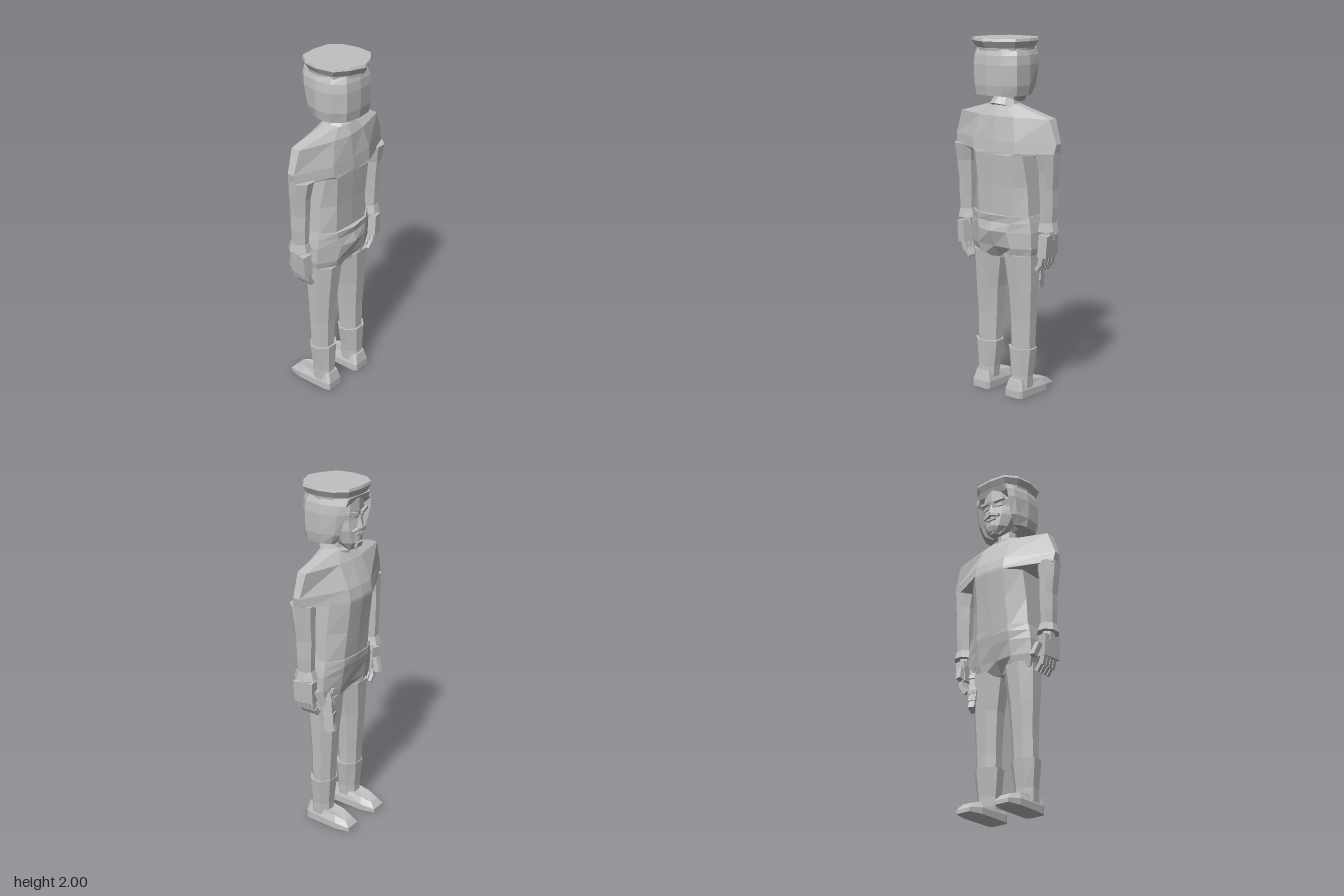
import * as THREE from 'three';

const grey = new THREE.MeshStandardMaterial({ color: 0xc0c0c0, flatShading: true });
grey.name = 'plain grey';

// Closed skin over a stack of equal-length rings, turned outward by its signed volume
function loft(rings) {
  const n = rings[0].length, tris = [];
  const quad = (a, b, c, d) => tris.push([a, b, c], [a, c, d]);
  for (let i = 0; i < rings.length - 1; i++)
    for (let j = 0; j < n; j++) {
      const k = (j + 1) % n;
      quad(rings[i][j], rings[i][k], rings[i + 1][k], rings[i + 1][j]);
    }
  const cap = (ring, flip) => {
    const pts = ring.map(p => new THREE.Vector2(p[0], p[2]));
    const ccw = !THREE.ShapeUtils.isClockWise(pts);
    for (const t of THREE.ShapeUtils.triangulateShape(pts, [])) {
      const f = t.map(i => ring[i]);
      tris.push(flip === ccw ? f : f.reverse());
    }
  };
  cap(rings[0], false);
  cap(rings[rings.length - 1], true);
  let volume = 0;
  const v = tris.map(t => t.map(p => new THREE.Vector3(...p)));
  for (const [a, b, c] of v) volume += a.dot(b.clone().cross(c));
  const pos = [];
  for (const [a, b, c] of v)
    for (const p of volume < 0 ? [a, c, b] : [a, b, c]) pos.push(p.x, p.y, p.z);
  const g = new THREE.BufferGeometry();
  g.setAttribute('position', new THREE.Float32BufferAttribute(pos, 3));
  g.computeVertexNormals();
  return g;
}

// Symmetric ring from half an outline of [x, z], beginning and ending on x = 0
function mirrored(y, half) {
  const right = half.slice(1, -1).reverse().map(([x, z]) => [-x, y, z]);
  return [...half.map(([x, z]) => [x, y, z]), ...right];
}

// Eight-sided limb ring between x and z limits
function limbRing([y, x0, x1, z0, z1], s, n = 8) {
  return Array.from({ length: n }, (_, i) => {
    const a = (i + 0.5) / n * Math.PI * 2, k = 1 / Math.cos(Math.PI / n);
    return [s * ((x0 + x1) / 2 + Math.cos(a) * k * (x1 - x0) / 2), y,
      (z0 + z1) / 2 + Math.sin(a) * k * (z1 - z0) / 2];
  });
}

export function createModel() {
  const model = new THREE.Group();
  const add = (name, geo, parent = model) => {
    const m = new THREE.Mesh(geo, grey);
    m.name = name;
    parent.add(m);
    return m;
  };
  const box = (name, size, at, rot = [0, 0, 0], parent = model) => {
    const m = add(name, new THREE.BoxGeometry(...size), parent);
    m.position.set(...at);
    m.rotation.set(...rot);
    return m;
  };
  const limb = (name, rows, s, parent, n) =>
    add(name, loft(rows.map(r => limbRing(r, s, n))), parent);

  // Jacket with broad shoulders: y, back centre z, back [x,z], side [x, z back, z front], front [x,z], front centre z
  const trunk = (name, rows) => add(name, loft(rows.map(([y, bz, b, s, f, fz]) =>
    mirrored(y, [[0, bz], b, [s[0], s[1]], [s[0], s[2]], f, [0, fz]]))));
  trunk('jacket', [
    [1.02, 0.11, [0.12, 0.105], [0.2, 0.05, -0.06], [0.11, -0.12], -0.125],
    [1.2, 0.115, [0.12, 0.11], [0.19, 0.05, -0.06], [0.1, -0.138], -0.145],
    [1.375, 0.125, [0.13, 0.12], [0.18, 0.08, -0.08], [0.1, -0.158], -0.167],
    [1.39, 0.125, [0.15, 0.115], [0.355, 0.03, -0.03], [0.1, -0.158], -0.167],
    [1.45, 0.12, [0.15, 0.11], [0.365, 0.02, -0.02], [0.1, -0.145], -0.152],
    [1.58, 0.105, [0.12, 0.09], [0.32, 0.025, -0.03], [0.1, -0.085], -0.09],
    [1.645, 0.07, [0.05, 0.065], [0.08, 0.03, -0.01], [0.05, -0.04], -0.045],
  ]);
  trunk('hips', [
    [0.79, 0.06, [0.1, 0.095], [0.205, 0.04, -0.05], [0.1, -0.085], -0.04],
    [0.86, 0.11, [0.12, 0.11], [0.22, 0.05, -0.06], [0.11, -0.1], -0.09],
    [0.95, 0.145, [0.1, 0.125], [0.22, 0.055, -0.065], [0.11, -0.115], -0.118],
    [1.0, 0.13, [0.12, 0.115], [0.213, 0.055, -0.065], [0.11, -0.125], -0.128],
    [1.04, 0.14, [0.12, 0.118], [0.205, 0.055, -0.065], [0.11, -0.127], -0.133],
  ]);

  // Neck and tilted collar
  const neck = add('neck', new THREE.CylinderGeometry(0.055, 0.06, 0.16, 8));
  neck.position.set(0, 1.66, 0.015);
  const collar = add('collar', new THREE.CylinderGeometry(0.075, 0.09, 0.045, 10));
  collar.position.set(0, 1.637, 0.01);
  collar.rotation.x = -0.38;

  // Hood with an opening that frames the face: y, half width, back z, opening edge z, recess depth
  add('hood', loft([
    [1.695, 0.152, 0.16, -0.065, 0.06],
    [1.75, 0.163, 0.168, -0.1, 0.06],
    [1.86, 0.166, 0.17, -0.13, 0.05],
    [1.91, 0.16, 0.165, -0.135, 0.01],
    [1.945, 0.147, 0.155, -0.13, -0.01],
  ].map(([y, w, b, e, d]) => mirrored(y, [[0, b], [w * 0.6, b - 0.012], [w * 0.96, b - 0.07],
    [w, 0], [w * 0.86, e * 0.75], [w * 0.7, e], [w * 0.62, e + d], [0, e + d]]))));

  // Peaked flat cap
  const brim = [[0, 0.2], [0.085, 0.168], [0.158, 0.113], [0.173, 0.01], [0.155, -0.08],
    [0.1, -0.145], [0, -0.156]];
  add('cap', loft([[1.935, 0.87], [1.95, 0.88], [1.985, 1], [2, 0.975]].map(([y, k]) =>
    mirrored(y, brim.map(([x, z]) => [x * k, z * k])))));

  // Face and features
  const face = new THREE.Group();
  face.name = 'face';
  model.add(face);
  add('faceMask', loft([
    [1.648, 0.035, -0.075, -0.125],
    [1.69, 0.075, -0.03, -0.14],
    [1.76, 0.105, 0, -0.137],
    [1.82, 0.108, 0, -0.128],
    [1.86, 0.11, 0, -0.138],
    [1.93, 0.1, 0, -0.138],
  ].map(([y, w, b, f]) => mirrored(y, [[0, b], [w * 0.8, b], [w, (b + f) / 2],
    [w * 0.6, f + 0.015], [0, f]]))), face);
  const nose = add('nose', new THREE.ConeGeometry(0.022, 0.07, 4), face);
  nose.position.set(0, 1.81, -0.139);
  box('mouth', [0.06, 0.014, 0.012], [0, 1.735, -0.14], [0, 0, 0], face);
  box('chin', [0.045, 0.03, 0.02], [0, 1.68, -0.132], [-0.3, 0, 0], face);
  for (const s of [1, -1]) {
    box('brow', [0.065, 0.016, 0.02], [s * 0.05, 1.855, -0.131], [0, s * -0.25, s * 0.15], face);
    box('eye', [0.04, 0.016, 0.009], [s * 0.048, 1.828, -0.121], [0, s * -0.25, 0], face);
    box('moustache', [0.055, 0.016, 0.018], [s * 0.026, 1.76, -0.139], [0, s * -0.2, s * -0.3], face);
  }

  for (const s of [1, -1]) {
    // Sleeve and cuff
    const arm = new THREE.Group();
    arm.name = s > 0 ? 'leftArm' : 'rightArm';
    model.add(arm);
    limb('sleeve', [
      [0.99, 0.255, 0.335, -0.05, 0.045],
      [1.1, 0.255, 0.342, -0.055, 0.05],
      [1.2, 0.252, 0.342, -0.058, 0.055],
      [1.3, 0.25, 0.353, -0.058, 0.062],
      [1.4, 0.235, 0.36, -0.06, 0.08],
    ], s, arm);
    limb('cuff', [[0.972, 0.24, 0.35, -0.07, 0.06], [1.02, 0.252, 0.34, -0.055, 0.05]], s, arm);
    // Hand with curled fingers and thumb
    limb('wrist', [[0.92, 0.265, 0.325, -0.04, 0.03], [0.99, 0.265, 0.325, -0.04, 0.035]], s, arm, 6);
    box('palm', [0.055, 0.125, 0.115], [s * 0.295, 0.89, 0.002], [0, s * 0.15, s * -0.08], arm);
    for (let i = 0; i < 4; i++) {
      const z = 0.042 - i * 0.028;
      box('fingerBase', [0.03, 0.06, 0.022], [s * 0.285, 0.81, z], [0, 0, s * -0.25], arm);
      box('fingerTip', [0.024, 0.05, 0.02], [s * 0.262, 0.768, z - 0.005], [0, 0, s * -0.65], arm);
    }
    box('thumb', [0.032, 0.085, 0.03], [s * 0.268, 0.86, -0.08], [0.35, 0, s * -0.2], arm);

    // Trouser leg, boot and shoe
    const leg = new THREE.Group();
    leg.name = s > 0 ? 'leftLeg' : 'rightLeg';
    model.add(leg);
    limb('trouserLeg', [
      [0.25, 0.058, 0.192, -0.055, 0.068],
      [0.35, 0.055, 0.195, -0.058, 0.07],
      [0.45, 0.05, 0.197, -0.065, 0.072],
      [0.6, 0.04, 0.205, -0.075, 0.082],
      [0.82, 0.008, 0.213, -0.09, 0.1],
    ], s, leg);
    limb('bootShaft', [
      [0.05, 0.068, 0.185, -0.045, 0.08],
      [0.12, 0.065, 0.187, -0.045, 0.075],
      [0.28, 0.045, 0.205, -0.06, 0.08],
    ], s, leg);
    const sole = [[0.062, 0.08], [0.075, 0.1], [0.172, 0.1], [0.185, 0.08], [0.19, -0.12],
      [0.172, -0.2], [0.083, -0.2], [0.062, -0.12]];
    const upper = [0.075, 0.075, 0.075, 0.08, 0.065, 0.04, 0.04, 0.065];
    const top = [0.1, 0.1, 0.1, 0.105, 0.075, 0.055, 0.055, 0.075];
    const shrink = ([x, z], k) => [s * (0.126 + (x - 0.126) * k), z * (1 + k) / 2];
    add('shoe', loft([[() => 0, 1], [i => upper[i] * 0.55, 1], [i => top[i], 0.7]].map(([h, k]) =>
      sole.map((p, i) => {
        const [x, z] = shrink(p, k);
        return [x, h(i), z];
      }))), leg);
  }

  // Holstered sidearm on the left thigh
  const gun = new THREE.Group();
  gun.name = 'sidearm';
  gun.position.set(0.172, 0.76, -0.065);
  gun.rotation.set(0.1, 0.3, 0);
  model.add(gun);
  box('holster', [0.045, 0.19, 0.05], [0, 0, 0], [0, 0, 0], gun);
  box('holsterStrap', [0.054, 0.022, 0.062], [0, 0.045, 0], [0.2, 0, 0], gun);
  box('holsterBand', [0.054, 0.022, 0.06], [0, -0.04, 0], [-0.15, 0, 0], gun);
  box('grip', [0.036, 0.085, 0.034], [0, 0.11, 0.012], [0.45, 0, 0], gun);
  box('hammer', [0.02, 0.035, 0.024], [0, 0.1, -0.024], [-0.4, 0, 0], gun);
  box('muzzle', [0.036, 0.06, 0.055], [0, -0.115, 0.004], [0.25, 0, 0], gun);
  return model;
}
